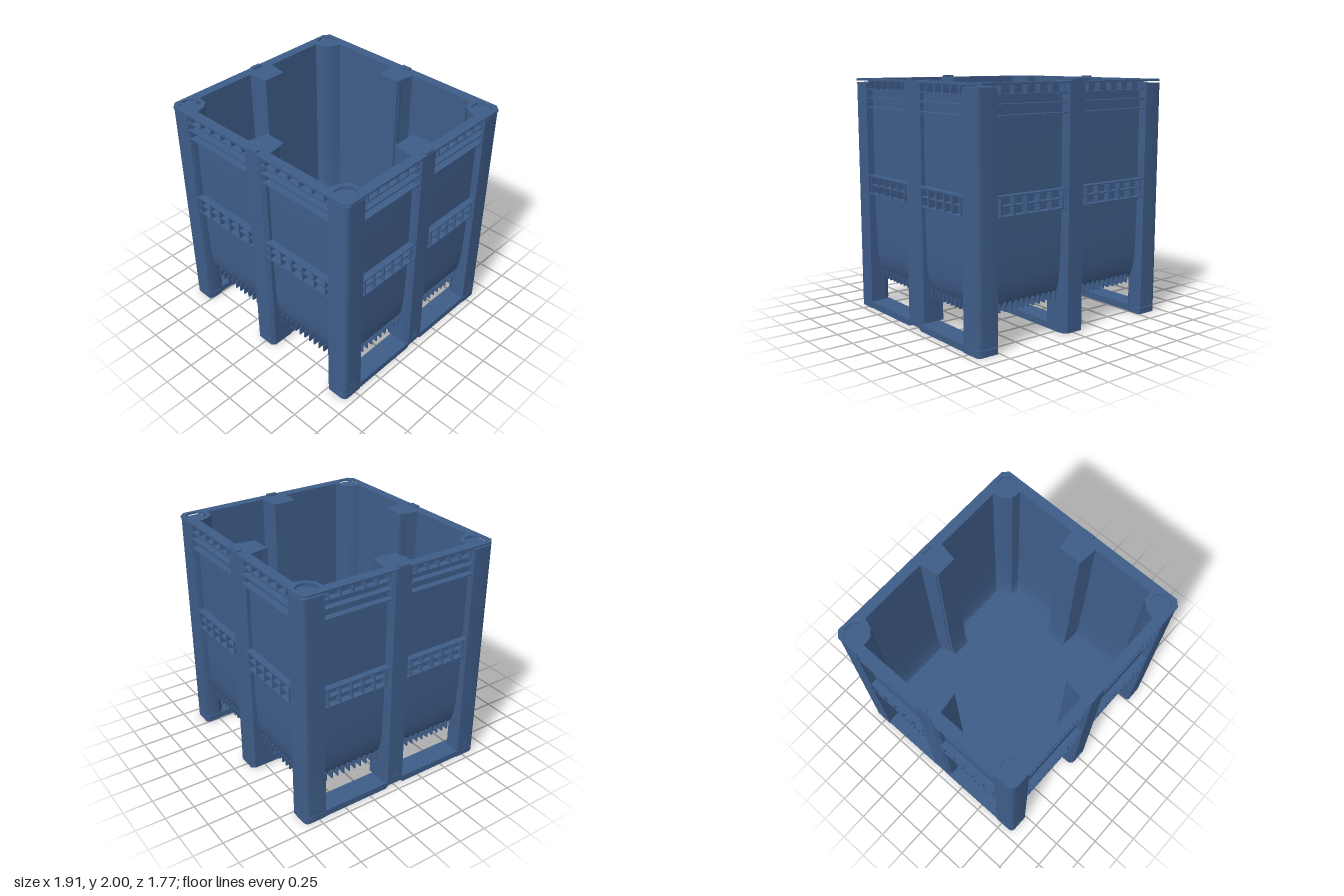
import * as THREE from 'three';
import { toCreasedNormals } from 'three/addons/utils/BufferGeometryUtils.js';

const blue = new THREE.MeshStandardMaterial({ color: 0x3e5c88, side: THREE.DoubleSide });
blue.name = 'blue plastic';

const RIM_Y = 1.97;
const V = (x, z) => new THREE.Vector2(x, -z);

function add(parent, name, geometry) {
  const mesh = new THREE.Mesh(geometry, blue);
  mesh.name = name;
  parent.add(mesh);
  return mesh;
}

// box given by its minimum and maximum corners
function box(parent, name, x0, x1, y0, y1, z0, z1) {
  const m = add(parent, name, new THREE.BoxGeometry(Math.abs(x1 - x0), y1 - y0, Math.abs(z1 - z0)));
  m.position.set((x0 + x1) / 2, (y0 + y1) / 2, (z0 + z1) / 2);
  return m;
}

// upright prism from a plan of [x, z] points, with optional holes
function prism(parent, name, plan, y0, y1, holes = []) {
  const shape = new THREE.Shape(plan.map(([x, z]) => V(x, z)));
  for (const h of holes) shape.holes.push(new THREE.Path(h.map(([x, z]) => V(x, z))));
  const g = new THREE.ExtrudeGeometry(shape, { depth: y1 - y0, bevelEnabled: false });
  g.rotateX(-Math.PI / 2).translate(0, y0, 0);
  return add(parent, name, toCreasedNormals(g, 0.6));
}

// prism along x from a profile of [z, y] points
function bar(parent, name, profile, x0, x1) {
  const shape = new THREE.Shape(profile.map(([z, y]) => new THREE.Vector2(-z, y)));
  const g = new THREE.ExtrudeGeometry(shape, { depth: x1 - x0, bevelEnabled: false });
  g.rotateY(Math.PI / 2).translate(x0, 0, 0);
  return add(parent, name, toCreasedNormals(g, 0.5));
}

// plan of a corner post, rounded outside and chamfered inside
function cornerPlan(sx, sz) {
  const pts = [[0.945, 0.69], [0.81, 0.69], [0.75, 0.75], [0.75, 0.845], [0.765, 0.875]];
  for (let i = 0; i <= 4; i++) {
    const a = (1 - i / 4) * Math.PI / 2;
    pts.push([0.905 + 0.04 * Math.cos(a), 0.835 + 0.04 * Math.sin(a)]);
  }
  pts.push([0.945, 0.705]);
  return pts.map(([x, z]) => [x * sx, z * sz]);
}

// plan of a middle post whose outer face lies at z = off
const middlePlan = (off) => [[-0.1, off - 0.215], [-0.1, off - 0.03], [-0.075, off],
  [0.075, off], [0.1, off - 0.03], [0.1, off - 0.215]];

// inner outline of the container, notched around the posts
function openingPlan() {
  const quarter = [[0.87, 0.12], [0.87, 0.655], [0.79, 0.665], [0.74, 0.715], [0.71, 0.8], [0.12, 0.8], [0.09, 0.64]];
  const q = [[0.7, 0.1], ...quarter];
  const flip = (sx, sz) => q.map(([x, z]) => [x * sx, z * sz]);
  return [...flip(1, 1), ...flip(-1, 1).reverse(), ...flip(-1, -1), ...flip(1, -1).reverse()];
}

// inner skin lofted from the opening down to the floor
function linerGeometry(plan) {
  const rows = [[RIM_Y, 1], [0.9, 0.99], [0.5, 0.98], [0.4, 0.965], [0.335, 0.94]];
  const pos = [], idx = [], n = plan.length;
  for (const [y, s] of rows) for (const [x, z] of plan) pos.push(x * s, y, z * s);
  for (let r = 0; r < rows.length - 1; r++) {
    for (let i = 0; i < n; i++) {
      const a = r * n + i, b = r * n + (i + 1) % n;
      idx.push(a, b, a + n, b, b + n, a + n);
    }
  }
  const g = new THREE.BufferGeometry();
  g.setAttribute('position', new THREE.Float32BufferAttribute(pos, 3));
  g.setIndex(idx);
  return toCreasedNormals(g, 0.5);
}

// small raised frame around the slot on a foot
function slotFrame(parent, x, z) {
  const rect = (w, h, P) => new P([[-w, -h], [w, -h], [w, h], [-w, h]].map((p) => new THREE.Vector2(...p)));
  const s = rect(0.032, 0.02, THREE.Shape);
  s.holes.push(rect(0.022, 0.01, THREE.Path));
  add(parent, 'footSlot', new THREE.ExtrudeGeometry(s, { depth: 0.006, bevelEnabled: false })).position.set(x, 0.115, z);
}

// one side facing +z: span is the half width between corner posts
function side(span, off) {
  const g = new THREE.Group();
  g.name = 'side';
  const wall = off - 0.06;
  const outer = [[0, RIM_Y], [0, 0.9], [-0.004, 0.7], [-0.012, 0.52], [-0.025, 0.42], [-0.045, 0.35], [-0.075, 0.305]];
  const profile = [...outer.map(([d, y]) => [wall + d, y]),
    ...outer.slice().reverse().map(([d, y]) => [wall + d - 0.008, y + (y < 0.4 ? 0.008 : 0)])];
  for (const s of [-1, 1]) {
    const a = 0.085, b = span + 0.015;
    const x0 = Math.min(s * a, s * b), x1 = Math.max(s * a, s * b);
    bar(g, 'panel', profile, x0, x1);
    // horizontal ribs
    for (const y of [1.9, 1.83, 1.75, 1.17, 1.095, 1.02]) {
      box(g, 'rib', x0, x1, y - 0.005, y + 0.005, wall - 0.005, off - (y === 1.095 ? 0.012 : 0.003));
    }
    // upright dividers
    const step = (b - a - 0.08) / 5;
    for (let i = 0; i < 6; i++) {
      const x = s * (a + 0.04 + i * step);
      box(g, 'topDivider', x - 0.005, x + 0.005, 1.9, RIM_Y, wall - 0.005, off - 0.006);
      box(g, 'beltDivider', x - 0.005, x + 0.005, 1.02, 1.17, wall - 0.005, off - 0.006);
    }
    // short teeth along the lower edge
    for (let x = 0.13; x < span - 0.04; x += 0.055) {
      box(g, 'tooth', s * x - 0.005, s * x + 0.005, 0.275, 0.345, wall - 0.11, wall - 0.025);
    }
    slotFrame(g, s * (span + 0.095), off - 0.002);
  }
  prism(g, 'middlePost', middlePlan(off), 0.06, RIM_Y);
  slotFrame(g, 0, off - 0.002);
  box(g, 'topLug', -0.045, 0.045, 1.98, 2, off - 0.035, off + 0.005);
  return g;
}

export function createModel() {
  const model = new THREE.Group();
  model.name = 'palletBox';

  // four sides
  for (let i = 0; i < 4; i++) {
    const s = i % 2 ? side(0.68, 0.945) : side(0.75, 0.875);
    s.rotation.y = i * Math.PI / 2;
    model.add(s);
  }

  // corner posts with their feet
  const octagons = [];
  for (const sx of [-1, 1]) {
    for (const sz of [-1, 1]) {
      prism(model, 'cornerPost', cornerPlan(sx, sz), 0.06, 1.955);
      prism(model, 'cornerFoot', cornerPlan(sx, sz), 0, 0.052);
      box(model, 'footNeck', sx * 0.77, sx * 0.93, 0.05, 0.062, sz * 0.71, sz * 0.86);
      octagons.push(Array.from({ length: 8 }, (_, k) => {
        const a = (k + 0.5) * Math.PI / 4;
        return [sx * 0.845 + 0.086 * Math.cos(a), sz * 0.772 + 0.086 * Math.sin(a)];
      }));
    }
  }

  // top rim with stacking pits
  const opening = openingPlan();
  const X = 0.955, Z = 0.885, c = 0.045;
  const rimPlan = [[X, -Z + c], [X, Z - c], [X - c, Z], [-X + c, Z], [-X, Z - c], [-X, -Z + c], [-X + c, -Z], [X - c, -Z]];
  prism(model, 'rim', rimPlan, RIM_Y, 1.986, [opening, ...octagons]);

  // inner skin and floor
  add(model, 'liner', linerGeometry(opening));
  prism(model, 'floor', opening.map(([x, z]) => [x * 0.94, z * 0.94]), 0.315, 0.335);

  // rib grid under the floor
  for (let i = -7; i <= 7; i++) {
    const x = i * 0.105, z = i * 0.097;
    box(model, 'floorRib', x - 0.006, x + 0.006, 0.275, 0.32, -0.735, 0.735);
    box(model, 'floorRib', -0.8, 0.8, 0.275, 0.32, z - 0.006, z + 0.006);
  }

  // runners, notched below the middle
  const runner = [[-0.8, 0], [-0.09, 0], [-0.06, 0.022], [0.06, 0.022], [0.09, 0], [0.8, 0], [0.8, 0.055], [-0.8, 0.055]];
  for (const x of [-0.85, 0, 0.85]) bar(model, 'runner', runner, x - 0.09, x + 0.09);
  for (const s of [-1, 1]) {
    prism(model, 'middleFoot', middlePlan(0.875).map(([x, z]) => [x, z * s]), 0.008, 0.062);
    box(model, 'sideFootNeck', s * 0.75, s * 0.93, 0.05, 0.062, -0.09, 0.09);
  }
  box(model, 'centreLeg', -0.1, 0.1, 0.05, 0.32, -0.1, 0.1);

  return model;
}
